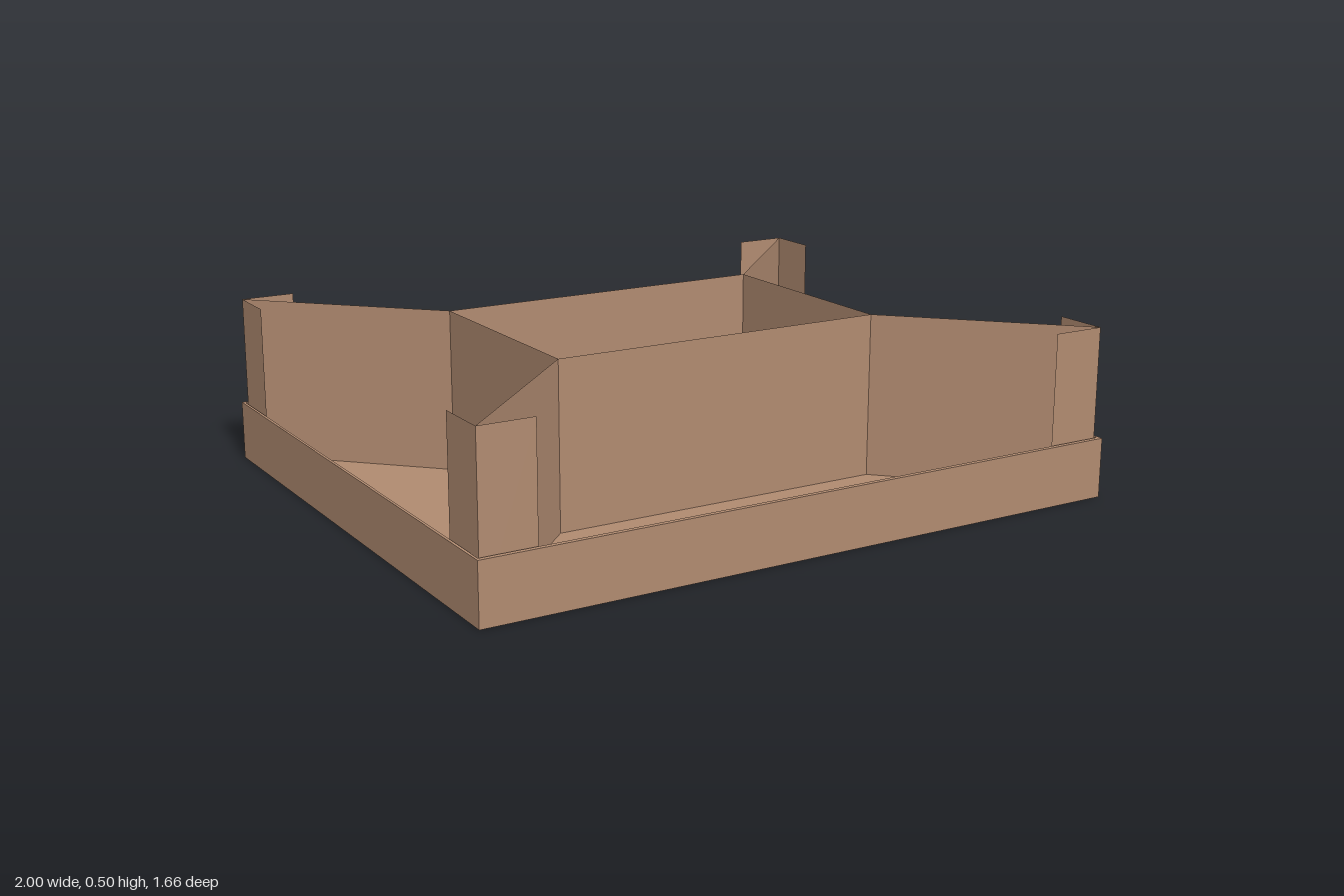
import * as THREE from 'three';

export function createModel() {
  const model = new THREE.Group();
  const wood = new THREE.MeshStandardMaterial({ color: 0xb08a70, side: THREE.DoubleSide });
  wood.name = 'brown board';

  const FLOOR = 0.013, TOP = 0.505, RIM = 0.178;

  const box = (name, w, h, d, x, y, z) => {
    const mesh = new THREE.Mesh(new THREE.BoxGeometry(w, h, d), wood);
    mesh.name = name;
    mesh.position.set(x, y, z);
    model.add(mesh);
  };

  // Thin upright sheet standing on the tray floor between two plan points
  const sheet = (name, [x1, z1], [x2, z2]) => {
    const dx = x2 - x1, dz = z2 - z1;
    const mesh = new THREE.Mesh(new THREE.PlaneGeometry(Math.hypot(dx, dz), TOP - FLOOR), wood);
    mesh.name = name;
    mesh.position.set((x1 + x2) / 2, (TOP + FLOOR) / 2, (z1 + z2) / 2);
    mesh.rotation.y = Math.atan2(-dz, dx);
    model.add(mesh);
  };

  // Open tray: floor and shallow rim
  box('trayFloor', 2, FLOOR, 1.66, 0, FLOOR / 2, 0);
  const rimH = RIM - FLOOR, rimY = (RIM + FLOOR) / 2;
  for (const s of [-1, 1]) {
    box('trayLongRim', 2, rimH, 0.014, 0, rimY, s * 0.823);
    box('traySideRim', 0.008, rimH, 1.632, s * 0.996, rimY, 0);
  }

  // Central rectangular enclosure
  const xs = [-0.515, 0.525], zi = 0.34;
  for (const s of [-1, 1]) sheet('innerLongWall', [xs[0], s * zi], [xs[1], s * zi]);
  for (const x of xs) sheet('innerSideWall', [x, -zi], [x, zi]);

  // Diagonal braces and L-shaped corner guards
  for (const sx of [-1, 1]) for (const sz of [-1, 1]) {
    const inner = [sx < 0 ? xs[0] : xs[1], sz * zi];
    const corner = [sx * 0.987, sz * 0.81];
    sheet('diagonalWall', inner, corner);
    sheet('cornerGuardFront', corner, [corner[0] - sx * 0.162, corner[1]]);
    sheet('cornerGuardSide', corner, [corner[0], corner[1] - sz * 0.163]);
  }
  return model;
}
